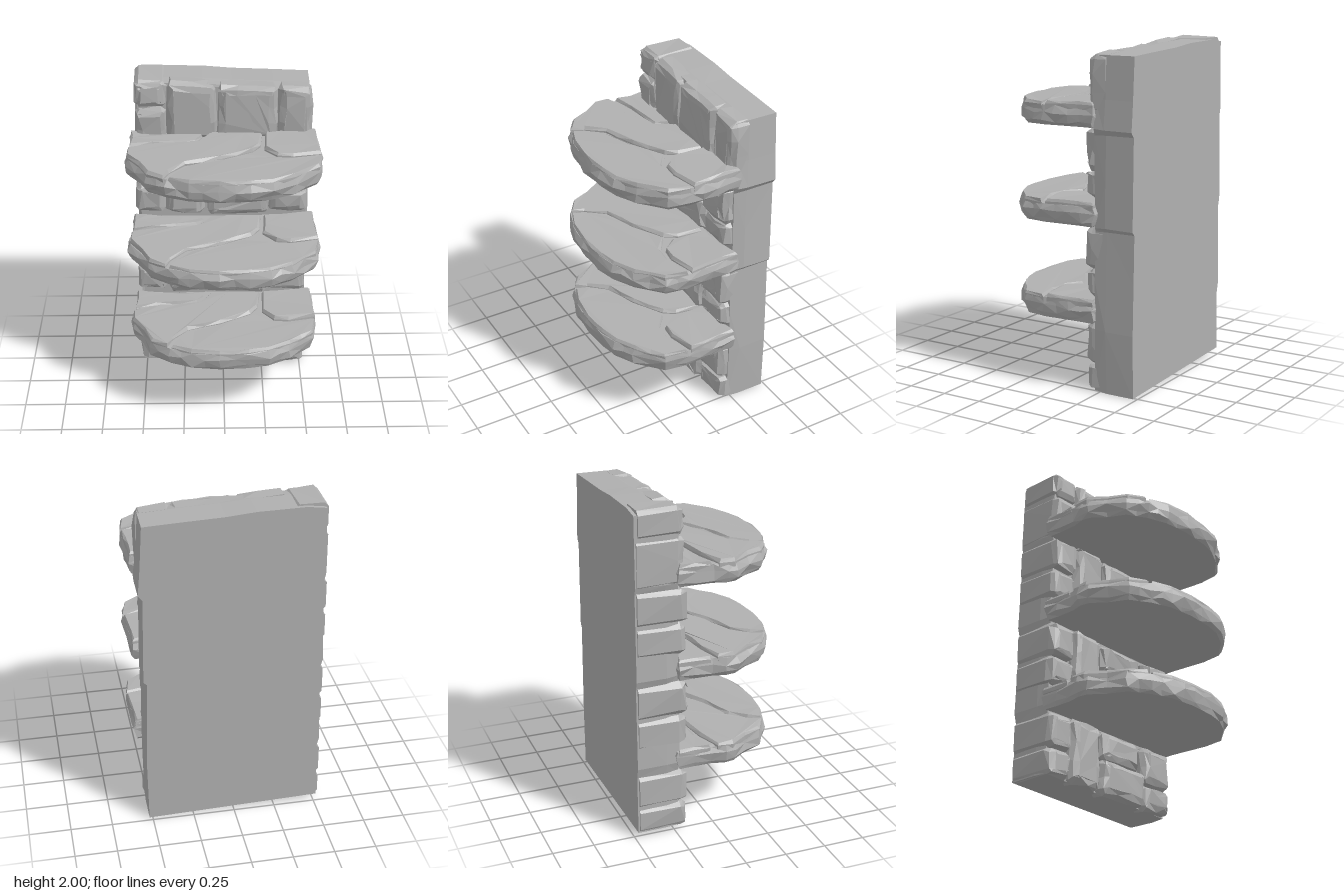
import * as THREE from 'three';

const stoneMat = new THREE.MeshStandardMaterial({ color: 0xb0b0b0 });
stoneMat.name = 'grey stone';

// Small seeded random generator
function seeded(seed) {
  let s = seed * 7919 + 17;
  return () => {
    s = (s * 16807) % 2147483647;
    return s / 2147483647;
  };
}

// Split long edges so outlines can be chipped; result runs anticlockwise
function subdivide(points, step) {
  let pts = points.map(([x, y]) => new THREE.Vector2(x, y));
  if (THREE.ShapeUtils.area(pts) < 0) pts.reverse();
  const out = [];
  pts.forEach((p, i) => {
    const q = pts[(i + 1) % pts.length];
    const n = Math.max(1, Math.round(p.distanceTo(q) / step));
    for (let k = 0; k < n; k++) out.push(p.clone().lerp(q, k / n));
  });
  return out;
}

// Move an outline inwards along its corner normals
function inset(pts, d) {
  return pts.map((p, i) => {
    const a = pts[(i + pts.length - 1) % pts.length], b = pts[(i + 1) % pts.length];
    const t = b.clone().sub(a).normalize();
    return new THREE.Vector2(p.x - t.y * d, p.y + t.x * d);
  });
}

// Chipped block: loops given as [inset, height, roughness], capped at both ends
function chippedBlock(points, loops, seed, step = 0.1) {
  const rand = seeded(seed);
  const base = subdivide(points, step);
  const n = base.length;
  const rings = loops.map(([d, h, rough]) => inset(base, d).map((p) => new THREE.Vector3(
    p.x + (rand() - 0.5) * rough, p.y + (rand() - 0.5) * rough, h + (rand() - 0.5) * rough)));
  const pos = [];
  const tri = (a, b, c) => [a, b, c].forEach((v) => pos.push(v.x, v.y, v.z));
  for (let r = 0; r + 1 < rings.length; r++) {
    for (let i = 0; i < n; i++) {
      const j = (i + 1) % n, lo = rings[r], hi = rings[r + 1];
      if ((i + r) % 2) {
        tri(lo[i], lo[j], hi[j]);
        tri(lo[i], hi[j], hi[i]);
      } else {
        tri(lo[i], lo[j], hi[i]);
        tri(lo[j], hi[j], hi[i]);
      }
    }
  }
  const cap = (ring, flip) => {
    const flat = ring.map((v) => new THREE.Vector2(v.x, v.y));
    THREE.ShapeUtils.triangulateShape(flat, []).forEach(([a, b, c]) =>
      (flip ? tri(ring[c], ring[b], ring[a]) : tri(ring[a], ring[b], ring[c])));
  };
  cap(rings[0], true);
  cap(rings[rings.length - 1], false);
  const geo = new THREE.BufferGeometry();
  geo.setAttribute('position', new THREE.Float32BufferAttribute(pos, 3));
  geo.computeVertexNormals();
  return geo;
}

function addMesh(parent, geo, name) {
  const mesh = new THREE.Mesh(geo, stoneMat);
  mesh.name = name;
  parent.add(mesh);
  return mesh;
}

// Wall stone between two corners, rounded off towards its front
let seedCount = 1;
function wallStone(parent, [x0, x1, y0, y1], back, front, tilt = 0) {
  const c = 0.025, drop = (x) => tilt * (x - x0);
  const pts = [[x0 + c, y0], [x1 - c, y0], [x1, y0 + c], [x1, y1 - c + drop(x1)],
    [x1 - c, y1 + drop(x1)], [x0 + c, y1], [x0, y1 - c], [x0, y0 + c]];
  const loops = [[0, back, 0], [0, front - 0.045, 0.018], [0.014, front - 0.015, 0.02], [0.045, front, 0.016]];
  addMesh(parent, chippedBlock(pts, loops, seedCount++, 0.11), 'wallStone');
}

function createWall() {
  const wall = new THREE.Group();
  wall.name = 'wall';
  // Solid backing slab
  const outline = [[-0.52, 0.03], [0.52, 0], [0.525, 0.37], [0.51, 0.95], [0.53, 0.97], [0.52, 1.5],
    [0.545, 1.53], [0.53, 1.7], [0.515, 1.945], [0.3, 1.955], [0.05, 1.965], [-0.12, 1.98], [-0.4, 1.985],
    [-0.51, 1.97], [-0.52, 1.56], [-0.51, 1.52], [-0.525, 1], [-0.51, 0.95], [-0.525, 0.45], [-0.51, 0.39]];
  addMesh(wall, chippedBlock(outline, [[0, -0.48, 0], [0, -0.3, 0.006], [0.006, -0.225, 0.012]], 91, 0.3), 'backSlab');

  // Same stone pattern in each of the three tiers
  [-0.005, 0.56, 1.13].forEach((y, tier) => {
    const foot = tier ? 0 : 0.02;
    [
      [-0.53, -0.345, y + foot + 0.01, y + 0.19, -0.47, -0.175],
      [-0.53, -0.345, y + 0.195, y + 0.4, -0.47, -0.165],
      [-0.345, -0.115, y + foot, y + 0.41, -0.26, -0.16],
      [-0.1, 0.275, y + foot / 2, y + 0.225, -0.26, -0.145],
      [-0.09, 0.25, y + 0.225, y + 0.405, -0.26, -0.165],
      [0.28, 0.515, y + 0.01, y + 0.165, -0.27, -0.16],
      [0.27, 0.51, y + 0.165, y + 0.4, -0.27, -0.15],
    ].forEach(([x0, x1, y0, y1, b, f]) => wallStone(wall, [x0, x1, y0, y1], b, f));
  });

  // Crowning row
  wallStone(wall, [-0.525, -0.335, 1.83, 1.995], -0.46, -0.185);
  wallStone(wall, [-0.525, -0.335, 1.54, 1.83], -0.47, -0.18);
  wallStone(wall, [-0.335, -0.035, 1.62, 1.99], -0.3, -0.175, -0.06);
  wallStone(wall, [-0.035, 0.32, 1.62, 1.97], -0.3, -0.17, -0.04);
  wallStone(wall, [0.325, 0.525, 1.62, 1.955], -0.3, -0.18, -0.04);
  return wall;
}

// Shelf outline and the flagstones lying on it, as x and z
const shelfEdge = [[-0.55, -0.24], [-0.555, -0.03], [-0.575, 0.05], [-0.565, 0.12], [-0.5, 0.21], [-0.45, 0.32],
  [-0.33, 0.4], [-0.2, 0.45], [-0.03, 0.47], [0.15, 0.46], [0.27, 0.435], [0.4, 0.37], [0.55, 0.24],
  [0.575, 0.1], [0.56, -0.24]];
const flagstones = [
  [[-0.55, -0.235], [-0.36, -0.2], [-0.12, -0.17], [-0.16, -0.09], [-0.42, -0.065], [-0.55, -0.035]],
  [[-0.56, 0], [-0.4, -0.05], [-0.15, -0.08], [-0.08, -0.19], [0.235, -0.19], [0.22, -0.03], [0.17, 0.04],
    [-0.02, 0.145], [-0.22, 0.21], [-0.31, 0.31], [-0.34, 0.385], [-0.44, 0.32], [-0.49, 0.21], [-0.565, 0.1]],
  [[0.245, -0.19], [0.555, -0.235], [0.57, 0.08], [0.4, 0.12], [0.31, 0.11], [0.235, 0.02]],
  [[-0.32, 0.39], [-0.28, 0.31], [-0.19, 0.22], [0.02, 0.145], [0.2, 0.05], [0.29, 0.125], [0.4, 0.137],
    [0.57, 0.1], [0.545, 0.24], [0.4, 0.36], [0.27, 0.425], [0.15, 0.452], [-0.03, 0.462], [-0.2, 0.44]],
];

function createShelf(y, scaleZ, index) {
  const shelf = new THREE.Group();
  shelf.name = 'shelf';
  const flip = (pts) => pts.map(([x, z]) => [x, -(z < 0 ? z : z * scaleZ)]);
  // Rough-edged slab
  const slab = chippedBlock(flip(shelfEdge),
    [[0.025, 0, 0], [0.008, 0.025, 0.018], [0, 0.075, 0.022], [0.012, 0.115, 0.012]], 40 + index, 0.09);
  addMesh(shelf, slab.rotateX(-Math.PI / 2), 'shelfSlab');
  // Paving on top, with grooves between pieces
  flagstones.forEach((pts, k) => {
    const top = [0.133, 0.14, 0.143, 0.136][k];
    const geo = chippedBlock(flip(pts),
      [[0.004, 0.09, 0], [0.003, top - 0.018, 0.008], [0.014, top, 0.008]], 60 + index * 5 + k, 0.12);
    addMesh(shelf, geo.rotateX(-Math.PI / 2), 'flagstone');
  });
  shelf.position.y = y;
  return shelf;
}

export function createModel() {
  const model = new THREE.Group();
  model.name = 'stoneShelfWall';
  seedCount = 1;
  model.add(createWall());
  [[0.41, 1.02], [0.975, 1.02], [1.54, 0.97]].forEach(([y, s], i) => model.add(createShelf(y, s, i)));
  return model;
}
